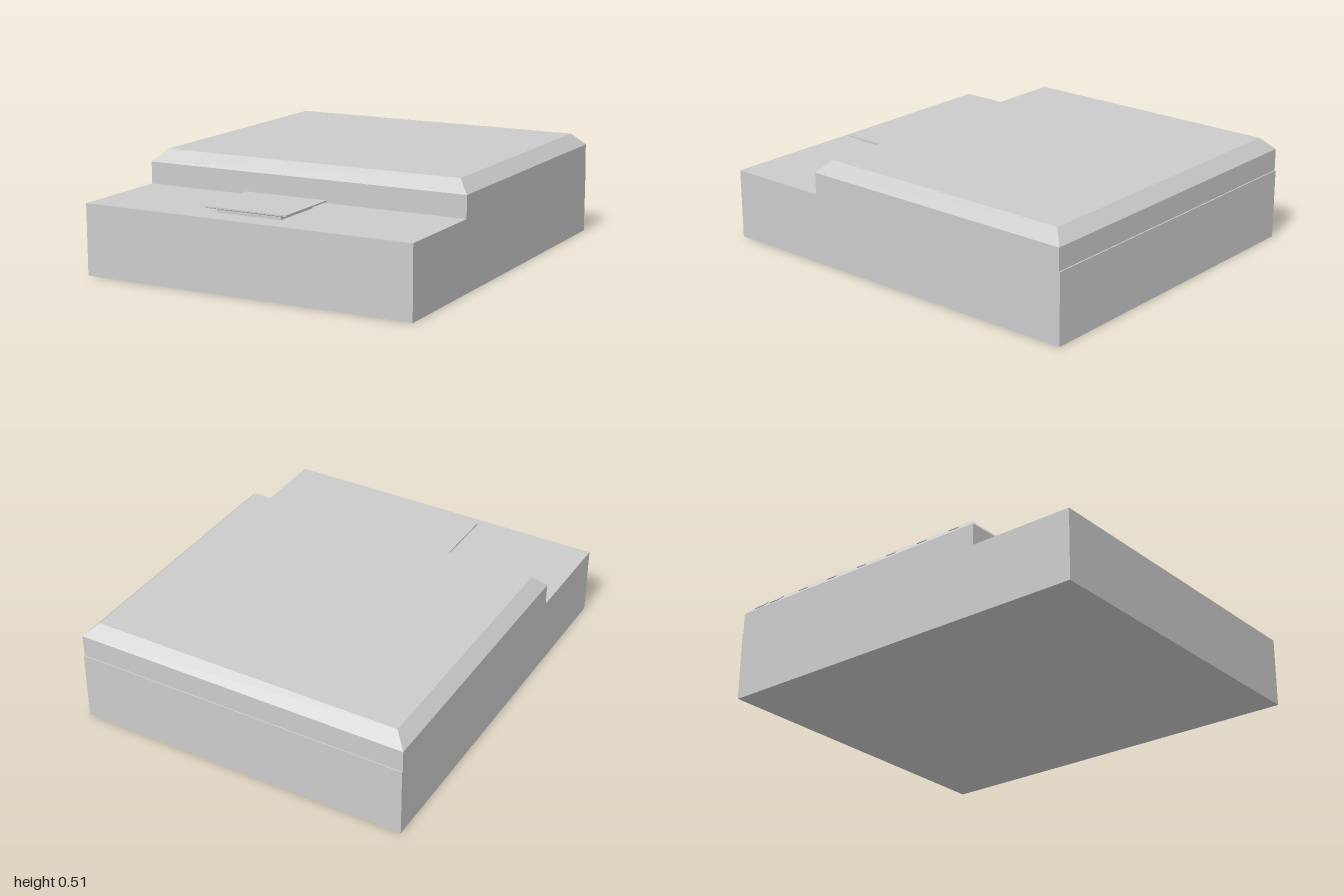
import * as THREE from 'three';

const grey = new THREE.MeshStandardMaterial({ color: 0xcccccc, flatShading: true });

// Box whose top and bottom rectangles may differ: [xMin, xMax, zMin, zMax]
function taperedBox(name, yBottom, bottom, yTop, top = bottom) {
  const geometry = new THREE.BoxGeometry(1, 1, 1);
  const p = geometry.attributes.position;
  for (let i = 0; i < p.count; i++) {
    const upper = p.getY(i) > 0;
    const r = upper ? top : bottom;
    p.setXYZ(i, p.getX(i) < 0 ? r[0] : r[1], upper ? yTop : yBottom, p.getZ(i) < 0 ? r[2] : r[3]);
  }
  geometry.computeVertexNormals();
  const mesh = new THREE.Mesh(geometry, grey);
  mesh.name = name;
  return mesh;
}

export function createModel() {
  const model = new THREE.Group();
  model.name = 'steppedCase';

  // Lower body and the raised block with its bevelled lid
  const block = [-0.845, 0.845, -0.994, 0.468];
  model.add(
    taperedBox('base', 0, [-0.845, 0.845, -1, 1], 0.346),
    taperedBox('upperBlock', 0.346, block, 0.455),
    taperedBox('bevelledLid', 0.455, block, 0.515, [-0.785, 0.785, -0.936, 0.408])
  );

  // Thin flared plate on a short neck, standing on the front ledge
  const neck = [-0.203, 0.132, 0.598, 0.882];
  const rim = [-0.25, 0.18, 0.552, 0.918];
  const plate = new THREE.Group();
  plate.name = 'frontPlate';
  plate.add(
    taperedBox('plateNeck', 0.346, neck, 0.361),
    taperedBox('plateFlare', 0.361, neck, 0.372, rim),
    taperedBox('plateTop', 0.372, rim, 0.379)
  );
  model.add(plate);

  // Row of shallow raised marks along the right bevel: [z, length, width]
  const marks = new THREE.Group();
  marks.name = 'bevelMarks';
  const layout = [[-0.905, 0.06, 0.045], [-0.8, 0.06, 0.045]];
  for (let i = 0; i < 6; i++) layout.push([-0.62 + i * 0.19, 0.05, 0.012]);
  for (const [z, length, width] of layout) {
    const mark = new THREE.Mesh(new THREE.BoxGeometry(width, 0.008, length), grey);
    mark.name = 'bevelMark';
    mark.position.set(-0.815, 0.485, z);
    mark.rotation.z = Math.PI / 4;
    marks.add(mark);
  }
  model.add(marks);

  return model;
}
